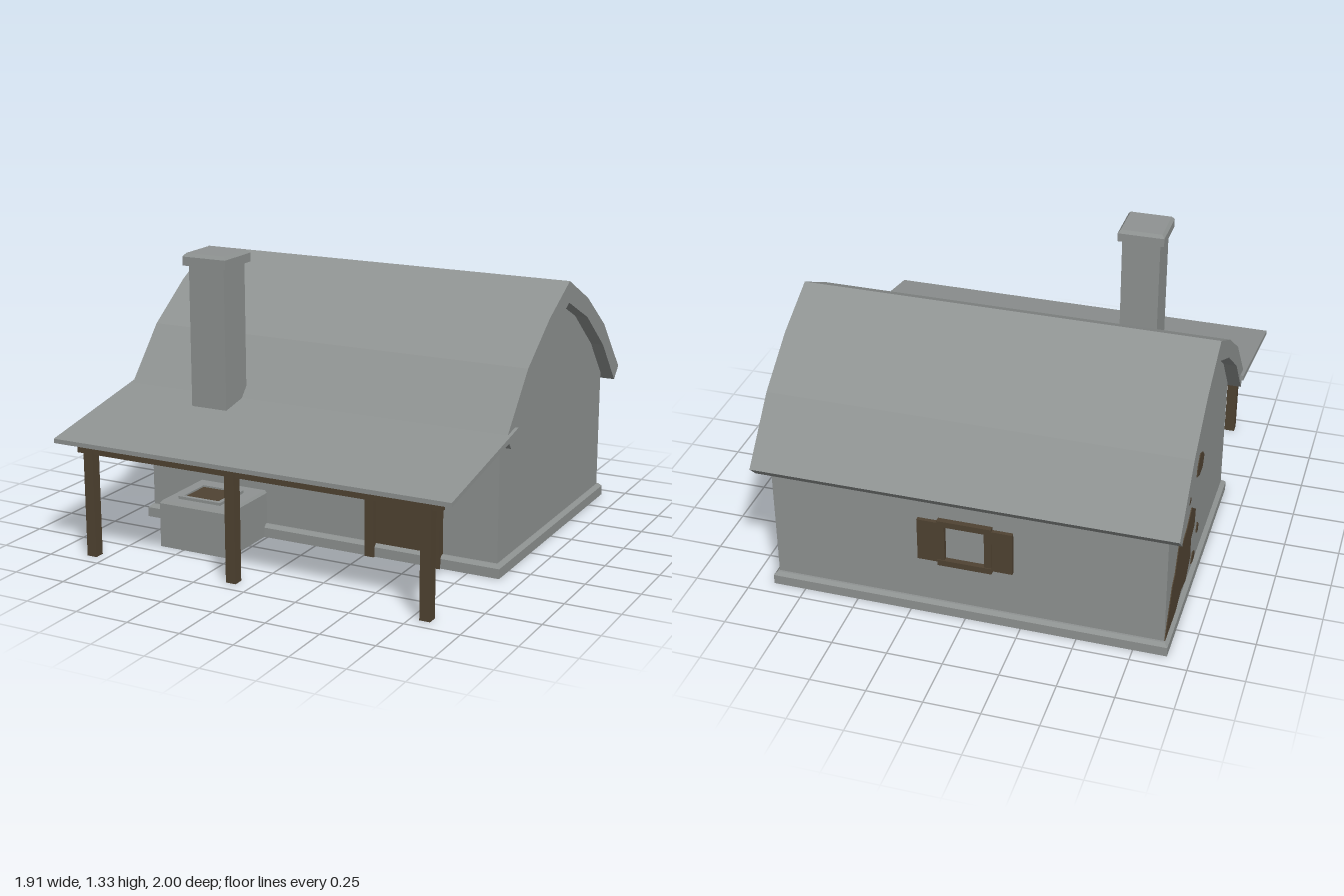
import * as THREE from 'three';

const mat = (name, color) => Object.assign(new THREE.MeshStandardMaterial({ color }), { name });

export function createModel() {
  const stone = mat('grey plaster', 0x8f9392);
  const wood = mat('dark wood', 0x504332);
  const house = new THREE.Group();
  house.name = 'cottage';

  const add = (name, geo, material, parent = house) => {
    const mesh = new THREE.Mesh(geo, material);
    mesh.name = name;
    parent.add(mesh);
    return mesh;
  };
  const group = (name) => {
    const g = new THREE.Group();
    g.name = name;
    house.add(g);
    return g;
  };
  // Box from its limits; inset pulls in the top edges
  const block = (name, x0, x1, y0, y1, z0, z1, material, parent, inset = 0) => {
    const geo = new THREE.BoxGeometry(x1 - x0, y1 - y0, z1 - z0);
    const p = geo.attributes.position;
    for (let i = 0; i < p.count; i++) {
      if (p.getY(i) <= 0) continue;
      p.setX(i, p.getX(i) - Math.sign(p.getX(i)) * inset);
      p.setZ(i, p.getZ(i) - Math.sign(p.getZ(i)) * inset);
    }
    geo.computeVertexNormals();
    geo.translate((x0 + x1) / 2, (y0 + y1) / 2, (z0 + z1) / 2);
    return add(name, geo, material, parent);
  };
  // Profile of [z, y] points stretched along x, centred on x
  const alongX = (name, points, length, material, parent, x = 0) => {
    const shape = new THREE.Shape(points.map(([z, y]) => new THREE.Vector2(z, y)));
    const geo = new THREE.ExtrudeGeometry(shape, { depth: length, bevelEnabled: false });
    geo.rotateY(-Math.PI / 2).translate(length / 2 + x, 0, 0);
    return add(name, geo, material, parent);
  };

  // Plinth and gabled walls
  block('plinth', -0.9, 0.9, 0, 0.045, -0.935, 0.365, stone);
  block('plinthBevel', -0.9, 0.9, 0.045, 0.06, -0.935, 0.365, stone, house, 0.015);
  const under = [[0.36, 0.59], [0.19, 0.8], [-0.05, 0.98], [-0.285, 1.095],
    [-0.53, 0.98], [-0.76, 0.8], [-0.94, 0.59]];
  const over = [[0.41, 0.65], [0.19, 0.9], [-0.05, 1.07], [-0.285, 1.193],
    [-0.53, 1.07], [-0.765, 0.9], [-0.995, 0.645]];
  alongX('walls', [[0.34, 0.03], [0.34, 0.615], ...under.slice(1, 6), [-0.91, 0.625], [-0.91, 0.03]],
    1.76, stone);

  // Curved main roof and lean-to porch roof
  alongX('roof', [...over, ...under.slice().reverse()], 1.88, stone);
  alongX('porchRoof', [[1, 0.525], [1, 0.545], [0.32, 0.675], [0.32, 0.65]], 1.91, stone);

  // Porch posts and beam
  const porch = group('porchFrame');
  for (const x of [-0.82, -0.1, 0.815]) block('porchPost', x - 0.024, x + 0.024, 0, 0.53, 0.89, 0.938, wood, porch);
  block('porchBeam', -0.88, 0.88, 0.475, 0.515, 0.896, 0.932, wood, porch);

  // Door in its frame
  const door = group('door');
  block('doorPanel', 0.29, 0.59, 0.06, 0.55, 0.335, 0.35, wood, door);
  for (const x of [0.278, 0.6]) block('doorJamb', x - 0.022, x + 0.022, 0, 0.58, 0.33, 0.375, wood, door);
  block('doorLintel', 0.256, 0.622, 0.535, 0.58, 0.33, 0.372, wood, door);

  // Hearth with a raised rim around the fire bed
  const hearth = group('hearth');
  block('hearthBase', -0.62, -0.265, 0, 0.205, 0.33, 0.685, stone, hearth);
  block('hearthTop', -0.62, -0.265, 0.205, 0.217, 0.33, 0.685, stone, hearth, 0.008);
  for (const x of [-0.56, -0.36]) block('rimSide', x, x + 0.02, 0.215, 0.23, 0.42, 0.625, stone, hearth);
  for (const z of [0.42, 0.605]) block('rimEnd', -0.54, -0.36, 0.215, 0.23, z, z + 0.02, stone, hearth);
  block('fireBed', -0.54, -0.36, 0.215, 0.222, 0.44, 0.605, wood, hearth);

  // Chimney: hood, shaft and cap
  const chimney = group('chimney');
  block('hood', -0.57, -0.32, 0.395, 0.525, 0.335, 0.575, stone, chimney);
  block('hoodTaper', -0.57, -0.32, 0.525, 0.565, 0.335, 0.575, stone, chimney, 0.036);
  block('shaft', -0.53, -0.352, 0.55, 1.28, 0.36, 0.537, stone, chimney);
  block('cap', -0.552, -0.335, 1.275, 1.315, 0.335, 0.553, stone, chimney);
  block('capBevel', -0.552, -0.335, 1.315, 1.33, 0.335, 0.553, stone, chimney, 0.012);

  // Back window with open shutters
  const win = group('backWindow');
  for (const s of [-1, 1]) {
    block('windowJamb', s * 0.105 - 0.016, s * 0.105 + 0.016, 0.265, 0.5, -0.932, -0.905, wood, win);
    block('shutter', s * 0.165 - 0.048, s * 0.165 + 0.048, 0.28, 0.485, -0.928, -0.905, wood, win);
  }
  for (const y of [0.268, 0.472]) block('windowRail', -0.12, 0.12, y, y + 0.028, -0.936, -0.905, wood, win);

  // Worn patches on the right wall
  const worn = group('wornPatches');
  const patch = (points) => alongX('wornPatch', points, 0.006, wood, worn, -0.881);
  patch([[-0.91, 0.06], [-0.87, 0.14], [-0.8, 0.27], [-0.75, 0.3], [-0.69, 0.41], [-0.61, 0.36],
    [-0.52, 0.38], [-0.435, 0.43], [-0.34, 0.36], [-0.35, 0.28], [-0.42, 0.25], [-0.41, 0.15],
    [-0.5, 0.08], [-0.6, 0.1], [-0.7, 0.06]]);
  const spots = [[-0.28, 0.56, 0.075, 0.06], [-0.49, 0.5, 0.025, 0.018],
    [-0.345, 0.1, 0.04, 0.03], [-0.27, 0.21, 0.022, 0.03]];
  for (const [z, y, rz, ry] of spots) {
    patch(Array.from({ length: 7 }, (_, i) => {
      const a = (i / 7) * Math.PI * 2, r = i % 2 ? 0.85 : 1.05;
      return [z + Math.cos(a) * rz * r, y + Math.sin(a) * ry * r];
    }));
  }
  return house;
}
